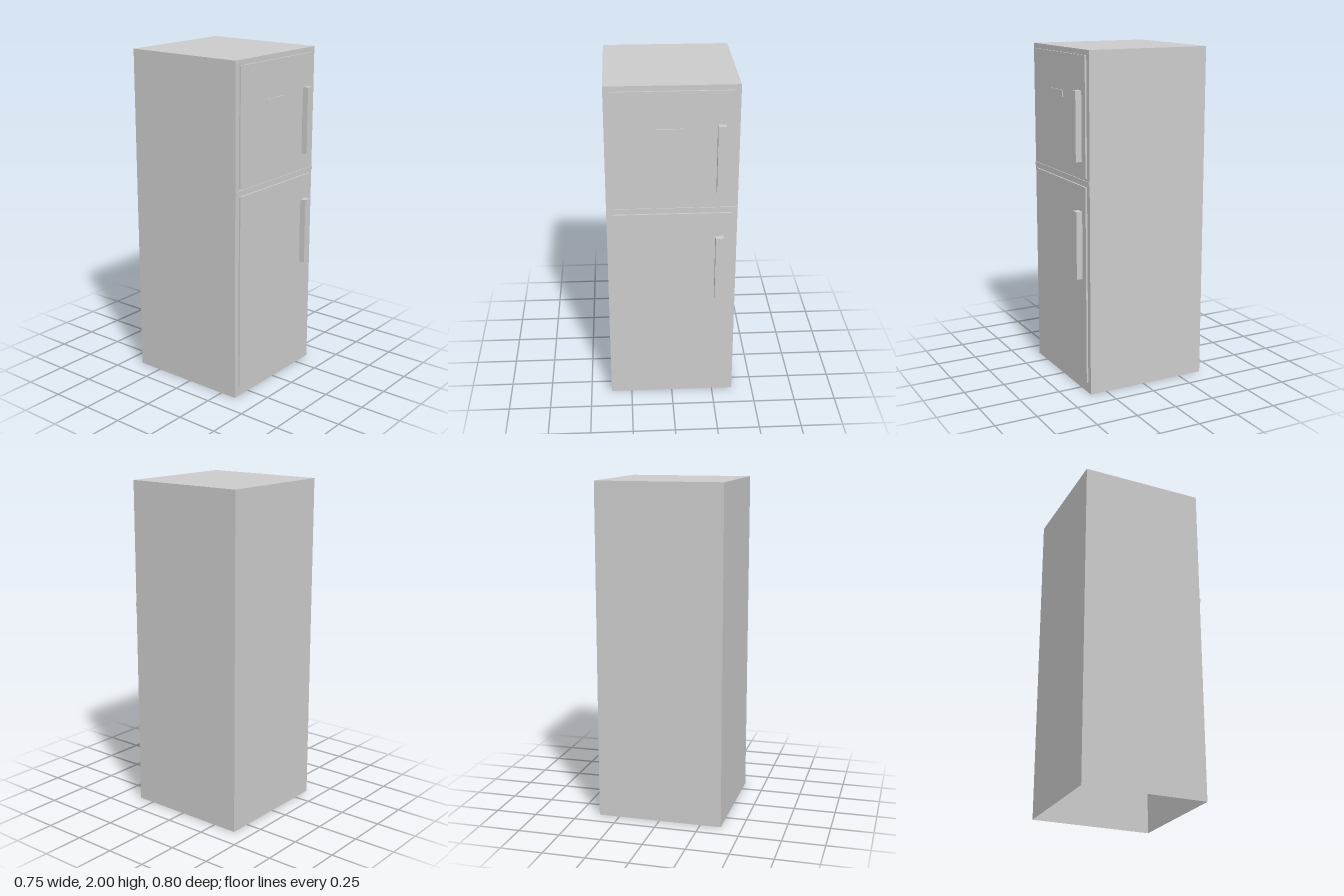
import * as THREE from 'three';

const material = new THREE.MeshStandardMaterial({ color: 0xcccccc });
const shellMaterial = new THREE.MeshStandardMaterial({ color: 0xcccccc, side: THREE.DoubleSide });

// Box given by its min/max on each axis
function slab(name, [x0, x1], [y0, y1], [z0, z1], mat = material) {
  const mesh = new THREE.Mesh(new THREE.BoxGeometry(x1 - x0, y1 - y0, z1 - z0), mat);
  mesh.position.set((x0 + x1) / 2, (y0 + y1) / 2, (z0 + z1) / 2);
  mesh.name = name;
  return mesh;
}

export function createModel() {
  const group = new THREE.Group();
  group.name = 'refrigerator';
  const bodyFront = 0.353, doorFront = 0.363;

  // Cabinet: a hollow shell, open underneath (the fourth box side is left out)
  const cabinet = slab('cabinet', [-0.375, 0.375], [0, 2], [-0.4, bodyFront], shellMaterial);
  const index = Array.from(cabinet.geometry.index.array);
  index.splice(18, 6);
  cabinet.geometry.setIndex(index);
  cabinet.geometry.clearGroups();
  group.add(cabinet);

  // Doors, each with a bar handle on the same side
  const doors = [
    { name: 'freezer', door: [1.285, 1.97], handle: [1.375, 1.775] },
    { name: 'fridge', door: [0.062, 1.235], handle: [0.688, 1.088] },
  ];
  for (const { name, door, handle } of doors) {
    group.add(slab(name + 'Door', [-0.342, 0.342], door, [bodyFront, doorFront]));
    group.add(slab(name + 'Handle', [0.25, 0.297], handle, [doorFront, 0.4]));
  }

  // Thin strip between the doors and a blank plate on the upper door
  group.add(slab('dividerStrip', [-0.375, 0.375], [1.25, 1.27], [bodyFront, 0.358]));
  group.add(slab('blankPlate', [-0.114, 0.056], [1.715, 1.755], [doorFront, 0.369]));

  return group;
}
